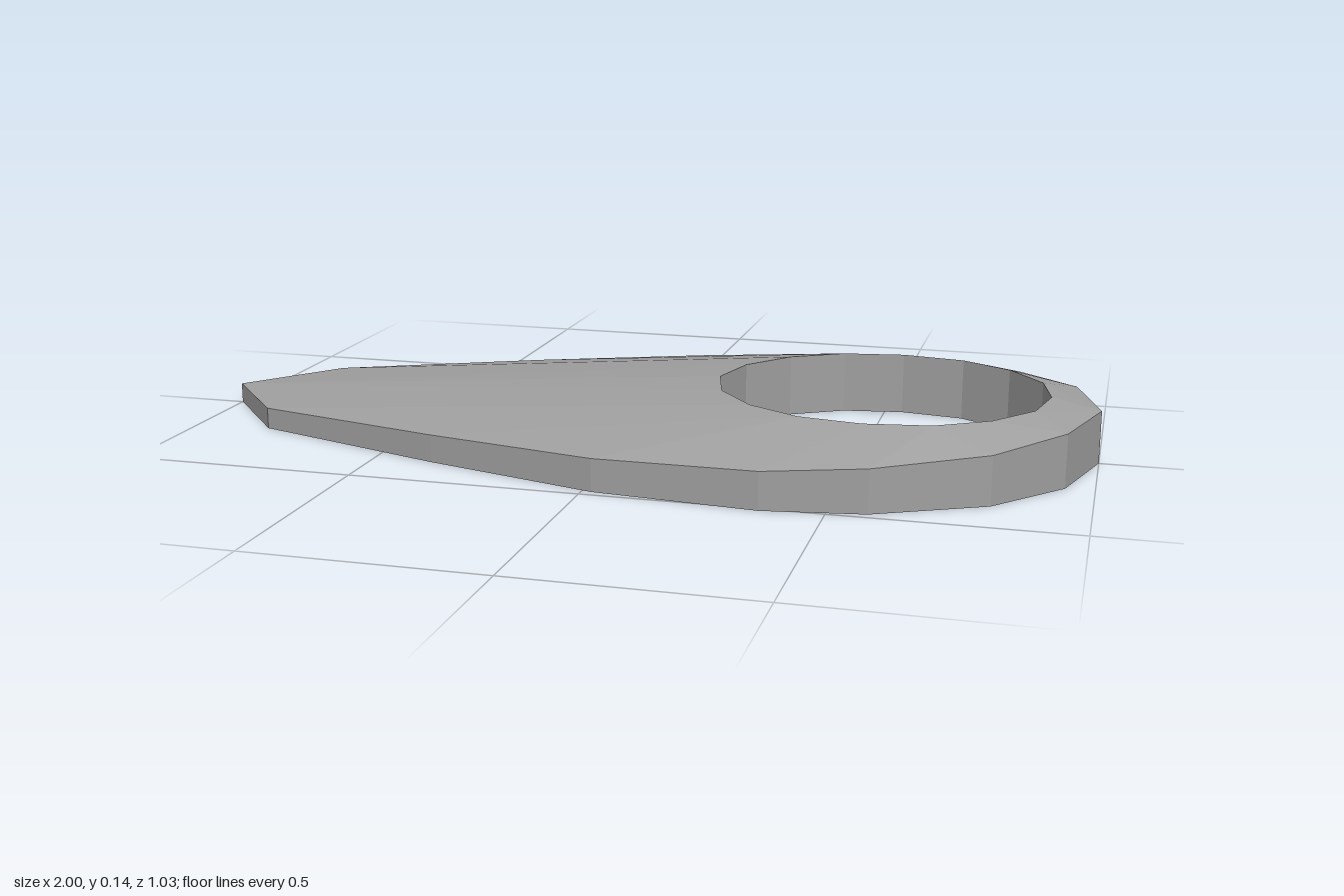
import * as THREE from 'three';

// Half outlines from the pointed tail to the blunt nose: outer [x, y, z], hole [x, z]
const OUTER = [
  [-1, 0.045, 0], [-0.83, 0.047, 0.205], [-0.37, 0.06, 0.365], [0.02, 0.07, 0.48],
  [0.37, 0.08, 0.513], [0.58, 0.092, 0.48], [0.805, 0.104, 0.365], [0.94, 0.115, 0.205], [1, 0.115, 0],
];
const HOLE = [
  [0.175, 0], [0.207, 0.125], [0.29, 0.23], [0.405, 0.298],
  [0.54, 0.32], [0.68, 0.298], [0.79, 0.23], [0.87, 0.125], [0.895, 0],
];
const HOLE_TOP = 0.138;

// Mirror a half outline across z = 0 into a closed loop
const closeLoop = (half) => [
  ...half, ...half.slice(1, -1).reverse().map(([x, y, z]) => [x, y, -z]),
];
const toGround = (loop) => loop.map(([x, , z]) => [x, 0, z]);

// Faceted band joining loop a to loop b
function band(a, b) {
  const pos = [];
  const n = a.length;
  for (let i = 0; i < n; i++) {
    const j = (i + 1) % n;
    // Mirror the diagonals in each quarter so the facets stay symmetric
    const tris = Math.floor(i / 4) % 2 === 0
      ? [a[i], a[j], b[j], a[i], b[j], b[i]]
      : [a[i], a[j], b[i], a[j], b[j], b[i]];
    pos.push(...tris.flat());
  }
  const geo = new THREE.BufferGeometry();
  geo.setAttribute('position', new THREE.Float32BufferAttribute(pos, 3));
  geo.computeVertexNormals();
  return geo;
}

export function createModel() {
  const group = new THREE.Group();
  group.name = 'teardropRing';
  const grey = new THREE.MeshStandardMaterial({ color: 0xa0a0a0, flatShading: true });
  grey.name = 'grey';

  const rim = closeLoop(OUTER);
  const hole = closeLoop(HOLE.map(([x, z]) => [x, HOLE_TOP, z]));
  const rimBase = toGround(rim);
  const holeBase = toGround(hole);

  const add = (name, from, to) => {
    const mesh = new THREE.Mesh(band(from, to), grey);
    mesh.name = name;
    group.add(mesh);
  };
  add('outerWall', rimBase, rim);
  add('slopedTop', rim, hole);
  add('holeWall', hole, holeBase);
  add('flatBase', holeBase, rimBase);
  return group;
}
